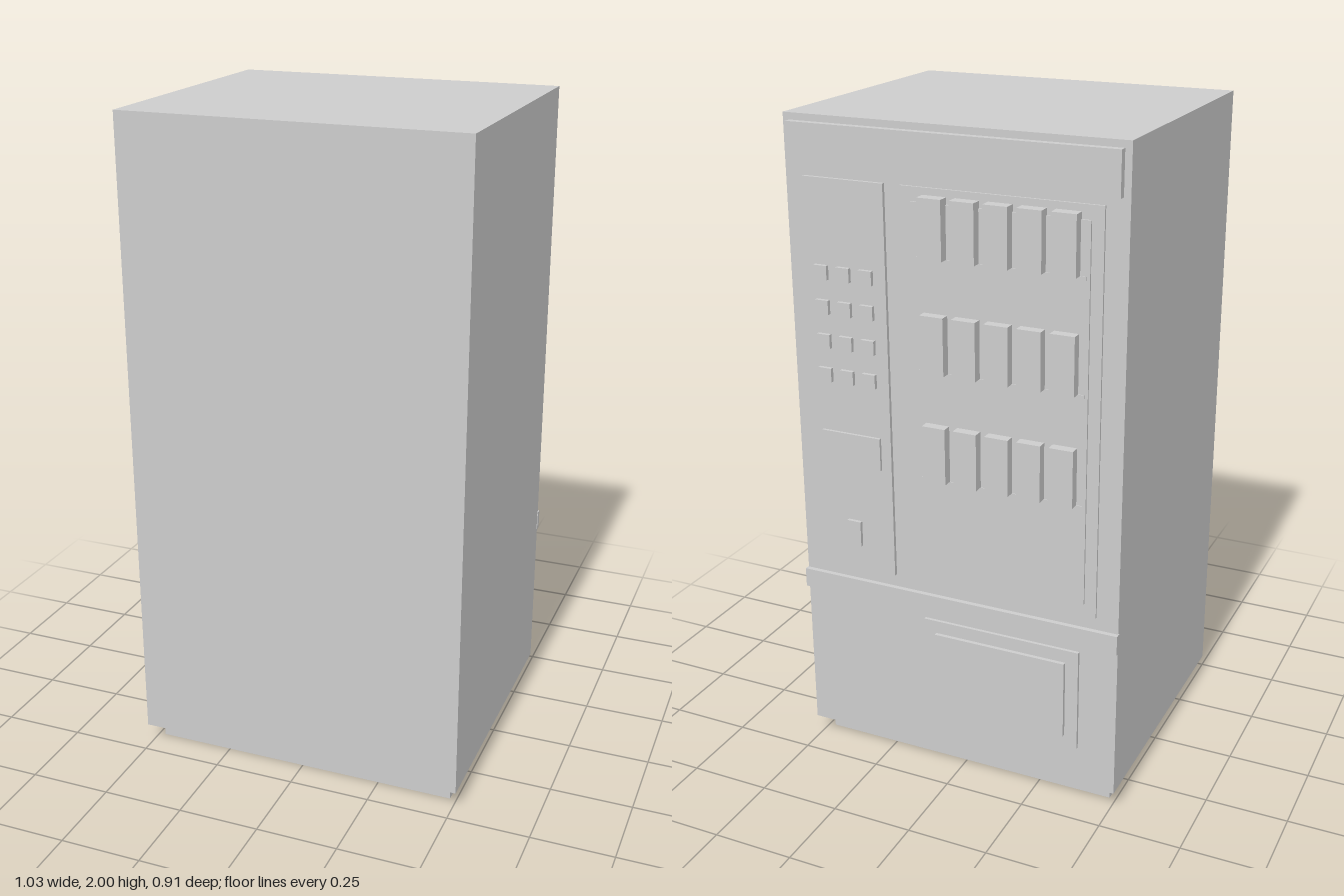
import * as THREE from 'three';

export function createModel() {
  const model = new THREE.Group();
  model.name = 'vendingMachine';
  const grey = new THREE.MeshStandardMaterial({ color: 0xcccccc });
  grey.name = 'light grey';

  // Box given by its limits on each axis
  function box(name, x0, x1, y0, y1, z0, z1, parent = model) {
    const mesh = new THREE.Mesh(new THREE.BoxGeometry(x1 - x0, y1 - y0, z1 - z0), grey);
    mesh.position.set((x0 + x1) / 2, (y0 + y1) / 2, (z0 + z1) / 2);
    mesh.name = name;
    parent.add(mesh);
    return mesh;
  }

  // Raised part on the service face, standing out to a given depth
  const FACE = -0.415;
  const raised = (name, x0, x1, y0, y1, depth, parent) =>
    box(name, x0, x1, y0, y1, depth, FACE + 0.005, parent);

  function group(name) {
    const g = new THREE.Group();
    g.name = name;
    model.add(g);
    return g;
  }

  // Cabinet and plinth
  box('cabinet', -0.512, 0.512, 0.06, 2, FACE, 0.457);
  box('plinth', -0.48, 0.48, 0, 0.06, -0.36, 0.405);

  // Header sign and trim band
  raised('headerSign', -0.492, 0.492, 1.855, 1.98, -0.438);
  raised('trimBand', -0.514, 0.514, 0.54, 0.6, -0.43);

  // Display window with shelves of products
  const display = group('displayWindow');
  raised('windowFrame', -0.445, 0.15, 0.64, 1.83, -0.422, display);
  raised('windowPane', -0.41, 0.115, 0.68, 1.79, -0.428, display);
  for (const y of [0.985, 1.312, 1.64]) {
    raised('shelf', -0.4, 0.1, y - 0.01, y, -0.431, display);
    for (let i = 0; i < 5; i++) {
      const x = -0.346 + i * 0.0975;
      raised('product', x - 0.036, x + 0.036, y, y + 0.17, -0.458, display);
    }
  }

  // Control panel with keypad, bill reader and coin slot
  const controls = group('controlPanel');
  raised('panelPlate', 0.2, 0.455, 0.64, 1.83, -0.426, controls);
  for (let row = 0; row < 4; row++) {
    for (let col = 0; col < 3; col++) {
      const x = 0.26 + col * 0.072, y = 1.255 + row * 0.102;
      raised('button', x - 0.021, x + 0.021, y - 0.021, y + 0.021, -0.438, controls);
    }
  }
  raised('billReader', 0.232, 0.425, 0.98, 1.08, -0.435, controls);
  raised('coinSlot', 0.307, 0.352, 0.72, 0.8, -0.437, controls);

  // Collection hatch
  const hatch = group('collectionHatch');
  raised('hatchFrame', -0.395, 0.105, 0.19, 0.515, -0.425, hatch);
  raised('hatchFlap', -0.355, 0.065, 0.23, 0.475, -0.437, hatch);

  return model;
}
